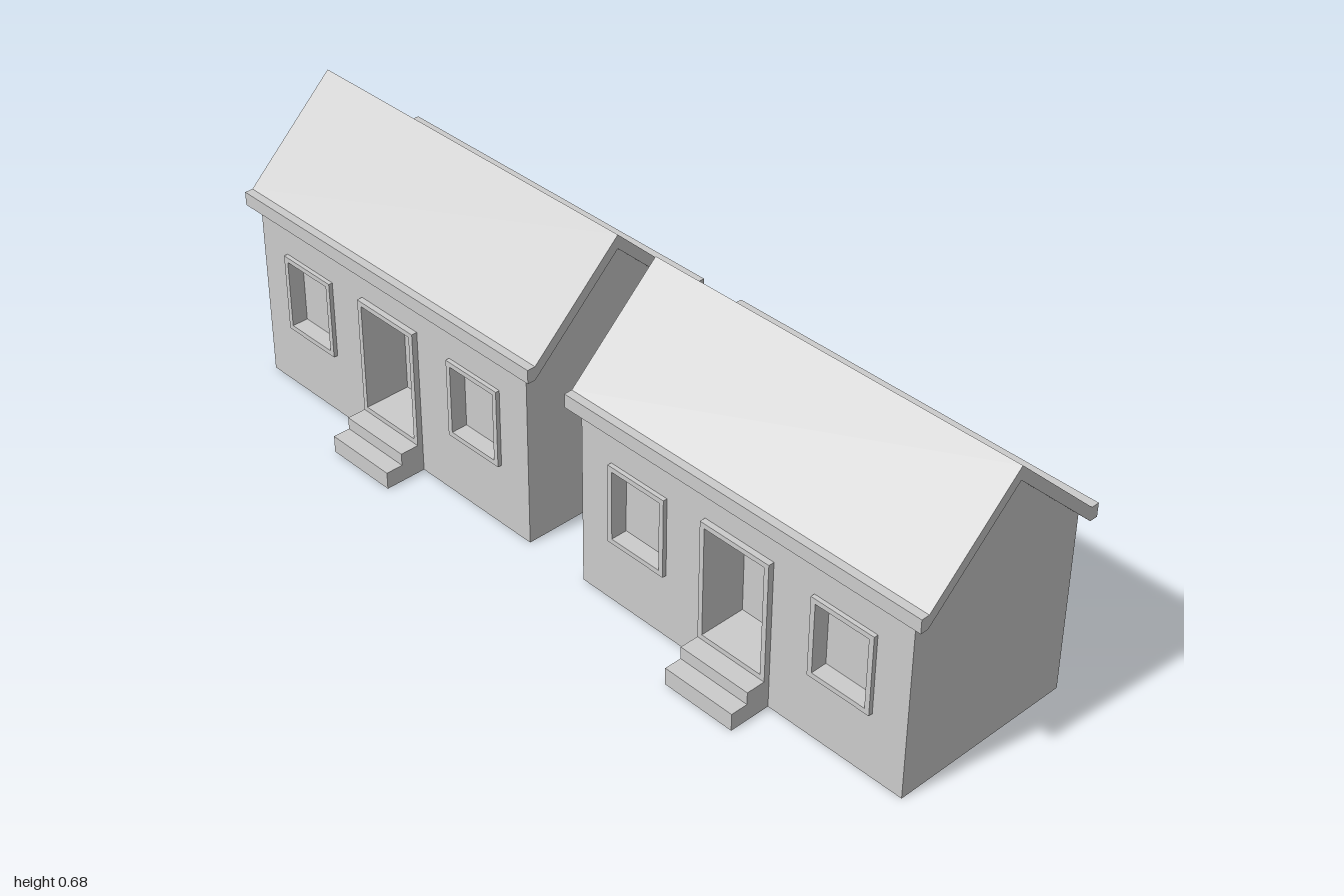
import * as THREE from 'three';

const WALL_W = 0.888, ROOF_W = 0.945, EAVE_Y = 0.435;
const FRONT = 0.188, BACK = -0.268, RIDGE = -0.04, RIDGE_Y = 0.65;
const TRIM = 0.012; // width of the door and window frames

const grey = new THREE.MeshStandardMaterial({ color: 0xcccccc, flatShading: true });
const greyThin = new THREE.MeshStandardMaterial({ color: 0xcccccc, flatShading: true, side: THREE.DoubleSide });

function add(parent, name, geometry, material = grey) {
  const mesh = new THREE.Mesh(geometry, material);
  mesh.name = name;
  parent.add(mesh);
  return mesh;
}

const polygon = (points) => new THREE.Shape(points.map(([x, y]) => new THREE.Vector2(x, y)));

// Rectangle centred on x, from y0 to y1, shrunk by inset
function rect(x, y0, y1, w, inset = 0) {
  const h = w / 2 - inset, b = y0 + inset, t = y1 - inset;
  return polygon([[x - h, b], [x + h, b], [x + h, t], [x - h, t]]);
}

// Extrudes a (z, y) profile across the house, centred on x = 0
function extrudeAcross(points, width) {
  const shape = polygon(points.map(([z, y]) => [-z, y]));
  const geometry = new THREE.ExtrudeGeometry(shape, { depth: width, bevelEnabled: false });
  return geometry.translate(0, 0, -width / 2).rotateY(Math.PI / 2);
}

// Long wall with framed, recessed openings; its outer face is z = 0
function makeWall(name, openings) {
  const wall = new THREE.Group();
  wall.name = name;
  const face = rect(0, 0, EAVE_Y, WALL_W);
  for (const { part, x, y0, y1, w, proud, recess } of openings) {
    const hole = rect(x, y0, y1, w, TRIM);
    face.holes.push(hole);

    // The frame's inner sides also line the opening
    const ring = rect(x, y0, y1, w);
    ring.holes.push(hole);
    const frame = new THREE.ExtrudeGeometry(ring, { depth: proud + recess, bevelEnabled: false });
    add(wall, part + 'Frame', frame.translate(0, 0, -recess));

    const panel = new THREE.PlaneGeometry(w - 2 * TRIM, y1 - y0 - 2 * TRIM);
    add(wall, part + 'Panel', panel.translate(x, (y0 + y1) / 2, -recess), greyThin);
  }
  add(wall, name + 'Face', new THREE.ShapeGeometry(face), greyThin);
  return wall;
}

function makeHouse() {
  const house = new THREE.Group();

  // Front wall: a door between two windows
  const frontWindow = { part: 'window', y0: 0.157, y1: 0.35, w: 0.16, proud: 0.01, recess: 0.03 };
  const front = makeWall('frontWall', [
    { part: 'door', x: 0, y0: 0.072, y1: 0.363, w: 0.185, proud: 0.014, recess: 0.1 },
    { ...frontWindow, x: -0.278 },
    { ...frontWindow, x: 0.278 },
  ]);
  front.position.z = FRONT;

  // Back wall: one wide window
  const back = makeWall('backWall', [
    { part: 'wideWindow', x: 0, y0: 0.157, y1: 0.336, w: 0.617, proud: 0.013, recess: 0.03 },
  ]);
  back.rotation.y = Math.PI;
  back.position.z = BACK;
  house.add(front, back);

  // Gable ends
  const gable = polygon([[-FRONT, 0], [-BACK, 0], [-BACK, EAVE_Y], [-RIDGE, RIDGE_Y], [-FRONT, EAVE_Y]]);
  for (const side of [-1, 1]) {
    const end = new THREE.ShapeGeometry(gable).rotateY(Math.PI / 2);
    add(house, 'gableWall', end.translate(side * WALL_W / 2, 0, 0), greyThin);
  }

  // Floor
  const floor = new THREE.PlaneGeometry(WALL_W, FRONT - BACK).rotateX(Math.PI / 2);
  add(house, 'floor', floor.translate(0, 0, (FRONT + BACK) / 2), greyThin);

  // Thick pitched roof with square eaves
  const thick = 0.033, eave = 0.02;
  add(house, 'roof', extrudeAcross([
    [FRONT, EAVE_Y], [FRONT + eave, EAVE_Y], [FRONT + eave, EAVE_Y + thick], [FRONT, EAVE_Y + thick],
    [RIDGE, RIDGE_Y + thick],
    [BACK, EAVE_Y + thick], [BACK - eave, EAVE_Y + thick], [BACK - eave, EAVE_Y], [BACK, EAVE_Y],
    [RIDGE, RIDGE_Y],
  ], ROOF_W));

  // Two steps up to the door
  add(house, 'doorSteps', extrudeAcross([
    [FRONT, 0], [0.29, 0], [0.29, 0.042], [0.248, 0.042], [0.248, 0.072], [FRONT, 0.072],
  ], 0.185));

  return house;
}

export function createModel() {
  const model = new THREE.Group();
  model.name = 'houses';
  for (const [name, x] of [['rightHouse', -0.5275], ['leftHouse', 0.5275]]) {
    const house = makeHouse();
    house.name = name;
    house.position.x = x;
    model.add(house);
  }
  return model;
}
